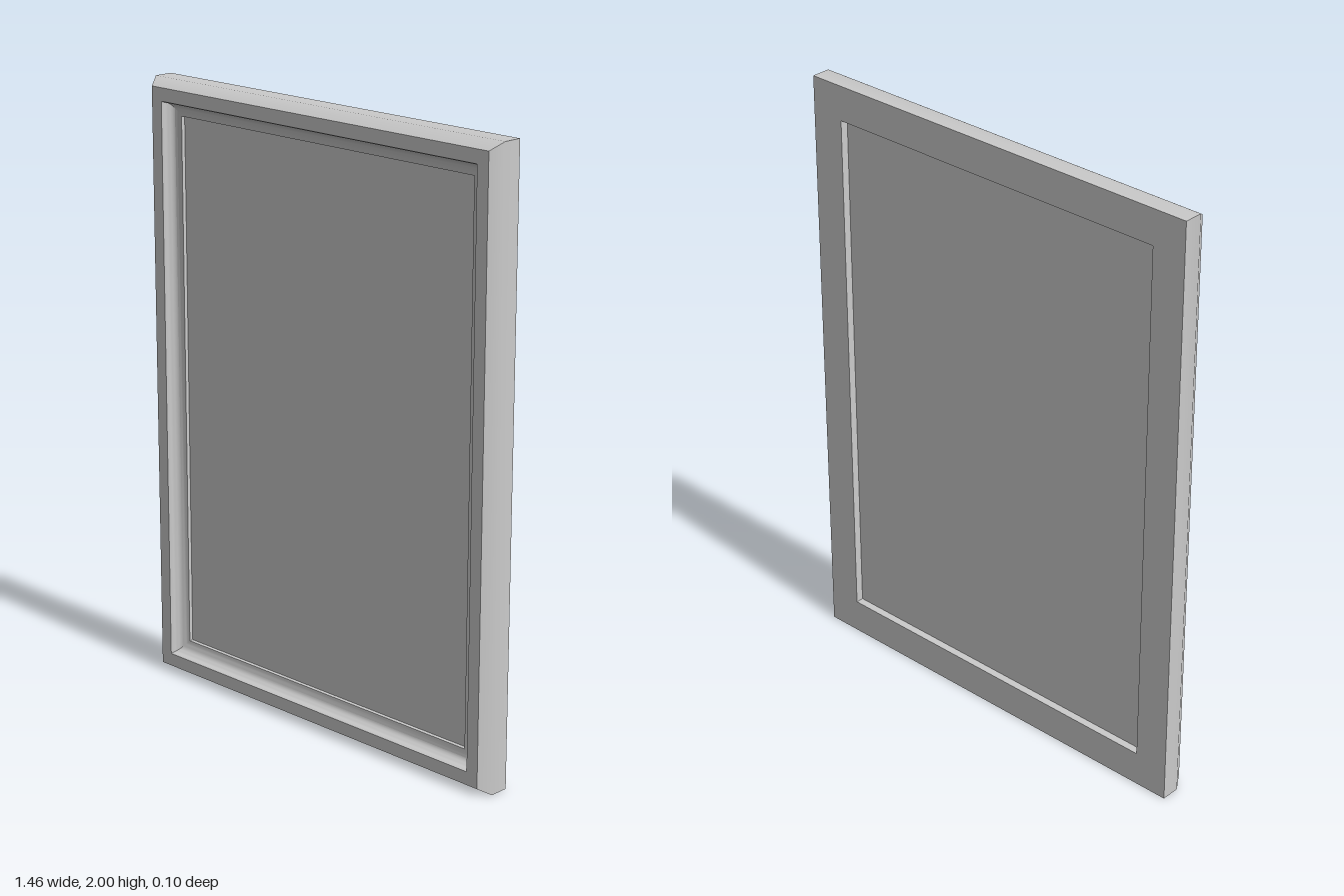
import * as THREE from 'three';
import { toCreasedNormals } from 'three/addons/utils/BufferGeometryUtils.js';

const HALF_W = 0.73, HALF_H = 1;

// Moulding cross-section as [inset from outer edge, z], from the back outer edge round to the back inner edge
function mouldingProfile() {
  const profile = [[0, -0.053], [0, 0.01], [0.025, 0.05], [0.068, 0.05], [0.072, 0.042]];
  // concave cove falling toward the panel
  const steps = 8;
  for (let i = 1; i <= steps; i++) {
    const a = (i / steps) * Math.PI / 2;
    profile.push([0.115 - 0.043 * Math.cos(a), 0.042 - 0.034 * Math.sin(a)]);
  }
  profile.push([0.115, -0.053]);
  return profile;
}

// Sweep the closed profile round the rectangle with mitred corners
function mitredFrame(profile) {
  const corners = [[1, -1], [1, 1], [-1, 1], [-1, -1]];
  const n = profile.length;
  const positions = [], index = [];
  for (const [sx, sy] of corners) {
    for (const [inset, z] of profile) {
      positions.push(sx * (HALF_W - inset), sy * (HALF_H - inset), z);
    }
  }
  for (let k = 0; k < 4; k++) {
    for (let i = 0; i < n; i++) {
      const j = (i + 1) % n, p = k * n, q = ((k + 1) % 4) * n;
      index.push(p + i, q + i, q + j, p + i, q + j, p + j);
    }
  }
  const geometry = new THREE.BufferGeometry();
  geometry.setAttribute('position', new THREE.Float32BufferAttribute(positions, 3));
  geometry.setIndex(index);
  return toCreasedNormals(geometry, 0.65);
}

export function createModel() {
  const group = new THREE.Group();
  group.name = 'pictureFrame';
  const material = new THREE.MeshStandardMaterial({ color: 0xcccccc });

  const frame = new THREE.Mesh(mitredFrame(mouldingProfile()), material);
  frame.name = 'frameMoulding';
  frame.position.y = HALF_H;

  // Panel recessed from both the front and the back
  const panel = new THREE.Mesh(
    new THREE.BoxGeometry(2 * (HALF_W - 0.115), 2 * (HALF_H - 0.115), 0.022), material);
  panel.name = 'picturePanel';
  panel.position.set(0, HALF_H, -0.016);

  group.add(frame, panel);
  return group;
}
